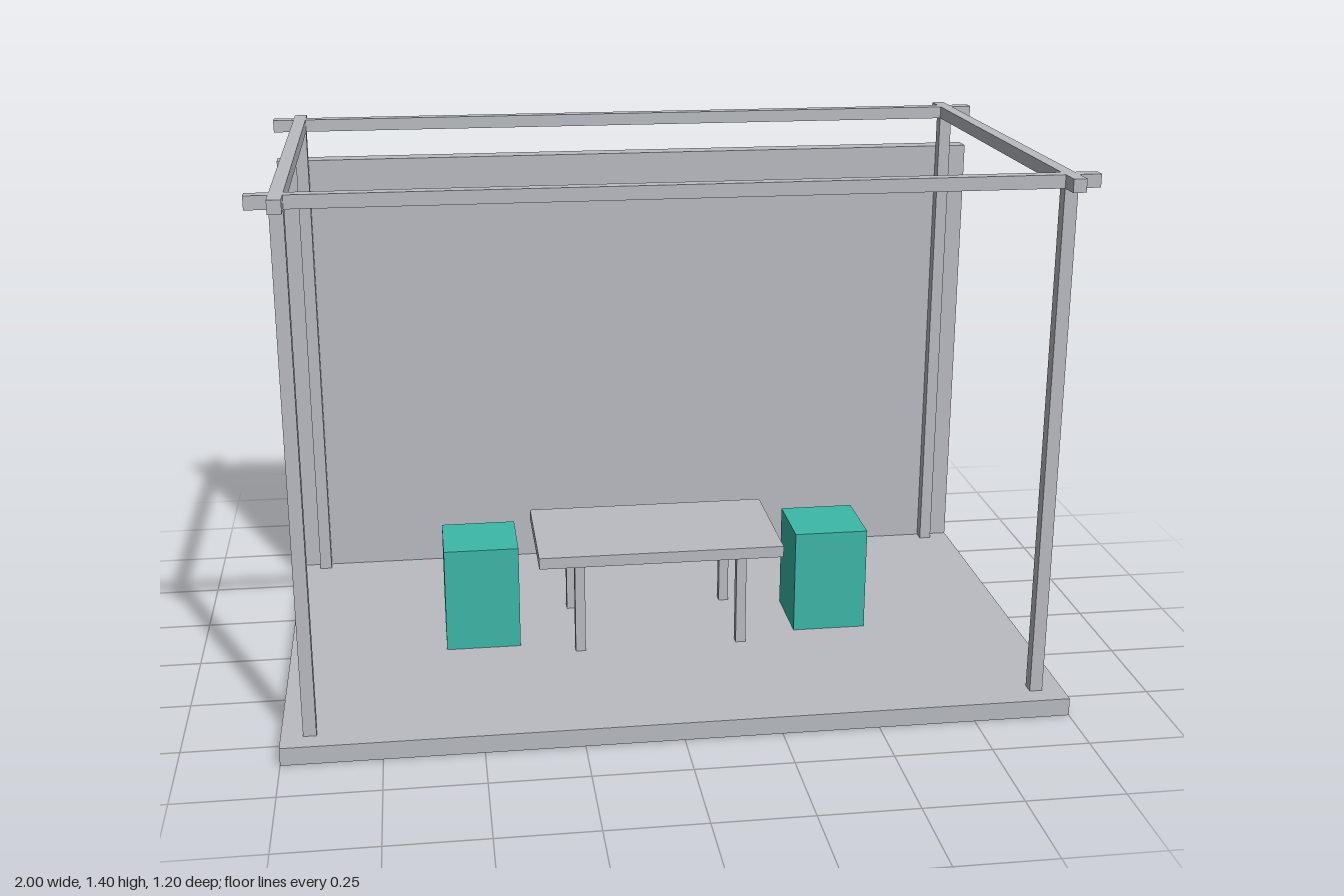
import * as THREE from 'three';

const grey = new THREE.MeshStandardMaterial({ color: 0xb9bcc2 });
grey.name = 'grey';
const teal = new THREE.MeshStandardMaterial({ color: 0x3cb8a9 });
teal.name = 'teal';

const FLOOR = 0.047, TOP = 1.4, BAR = 0.033;
const POST_X = 0.928, POST_Z = 0.529;

// Box with its size, centre in x and z, and the height of its underside
function box(parent, name, material, [w, h, d], x, bottom, z) {
  const mesh = new THREE.Mesh(new THREE.BoxGeometry(w, h, d), material);
  mesh.name = name;
  mesh.position.set(x, bottom + h / 2, z);
  parent.add(mesh);
}

function group(parent, name) {
  const g = new THREE.Group();
  g.name = name;
  parent.add(g);
  return g;
}

export function createModel() {
  const model = new THREE.Group();
  model.name = 'exhibitionBooth';

  // Floor slab and back wall
  box(model, 'floor', grey, [2, FLOOR, 1.2], 0, 0, 0);
  box(model, 'backWall', grey, [2, 1.28 - FLOOR, 0.055], 0, FLOOR, -0.5725);

  // Open frame: four posts under crossing beams
  const frame = group(model, 'frame');
  for (const s of [-1, 1]) {
    box(frame, 'longBeam', grey, [2, BAR, BAR], 0, TOP - BAR, s * POST_Z);
    box(frame, 'crossBeam', grey, [BAR, BAR, 1.2], s * POST_X, TOP - BAR, 0);
    for (const t of [-1, 1]) {
      box(frame, 'post', grey, [BAR, TOP - BAR - FLOOR, BAR], s * POST_X, FLOOR, t * POST_Z);
    }
  }

  // Table with four legs
  const table = group(model, 'table');
  box(table, 'tableTop', grey, [0.66, 0.031, 0.36], 0, 0.303, 0);
  for (const s of [-1, 1]) {
    for (const t of [-1, 1]) {
      box(table, 'tableLeg', grey, [0.027, 0.303 - FLOOR, 0.027], s * 0.22, FLOOR, t * 0.141);
    }
  }

  // Block stools at both ends of the table
  for (const s of [-1, 1]) {
    box(model, s > 0 ? 'leftStool' : 'rightStool', teal, [0.2, 0.286, 0.2], s * 0.48, FLOOR, 0);
  }

  return model;
}
